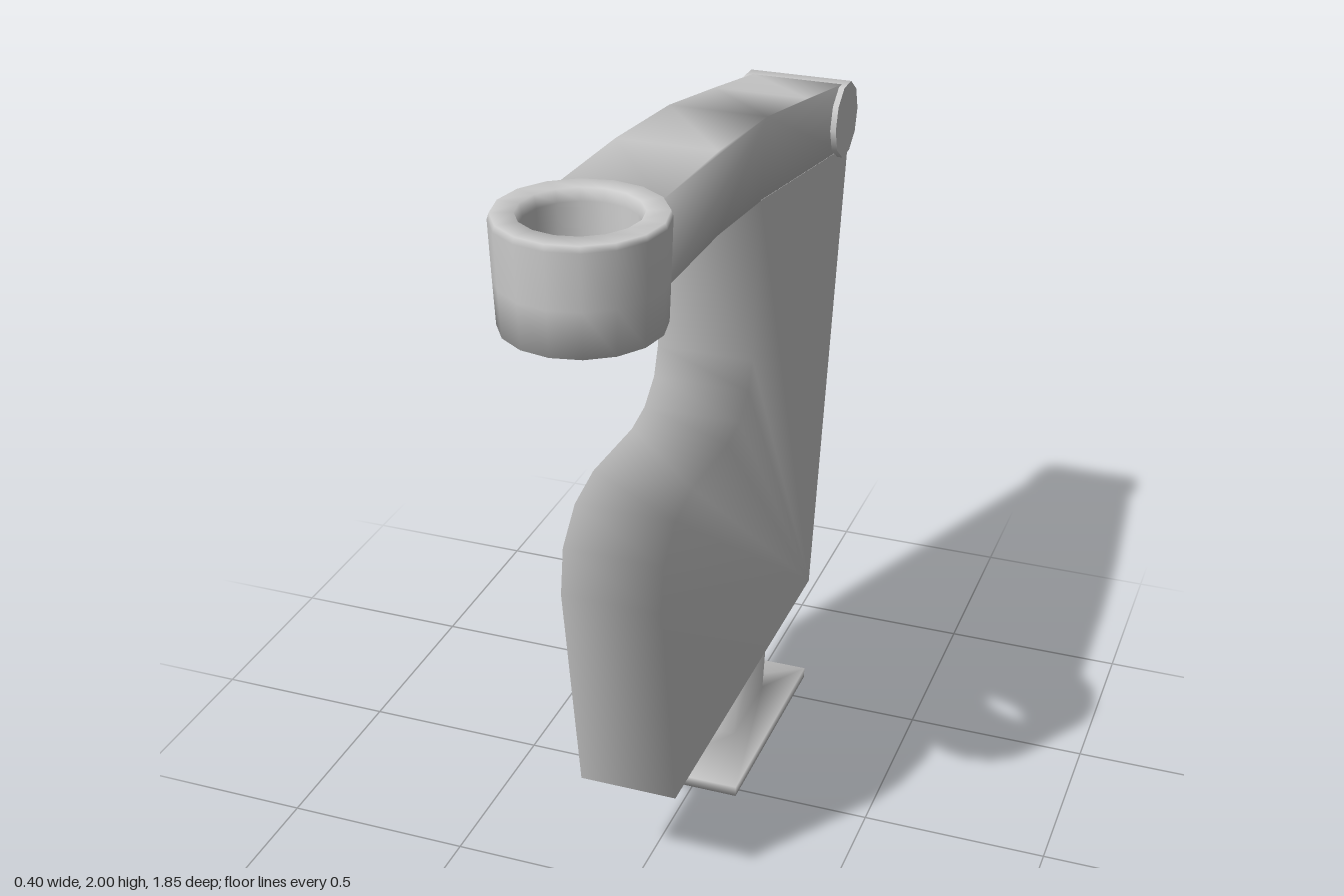
import * as THREE from 'three';
import { mergeVertices, mergeGeometries } from 'three/addons/utils/BufferGeometryUtils.js';

const material = new THREE.MeshStandardMaterial({ color: 0xcccccc });

function addPart(group, name, geometry) {
  const mesh = new THREE.Mesh(geometry, material);
  mesh.name = name;
  group.add(mesh);
  return mesh;
}

// Shares corners so that neighbouring faces shade smoothly.
function smooth(positions) {
  let g = new THREE.BufferGeometry();
  g.setAttribute('position', new THREE.Float32BufferAttribute(positions, 3));
  g = mergeVertices(g, 1e-4);
  g.computeVertexNormals();
  return g;
}

// Prism from a [z, y] outline (counter-clockwise), widened along x.
// Side faces fan out from the first point; edges in flatEdges stay sharp.
function prism(outline, half, flatEdges) {
  const n = outline.length;
  const soft = [];
  const parts = [];
  const at = (i, x) => [x, outline[i % n][1], outline[i % n][0]];
  for (let i = 1; i < n - 1; i++) {
    soft.push(...at(0, -half), ...at(i, -half), ...at(i + 1, -half));
    soft.push(...at(0, half), ...at(i + 1, half), ...at(i, half));
  }
  for (let i = 0; i < n; i++) {
    const a = at(i, half), b = at(i + 1, half), c = at(i + 1, -half), d = at(i, -half);
    const quad = [...a, ...b, ...c, ...a, ...c, ...d];
    if (flatEdges.includes(i)) parts.push(smooth(quad));
    else soft.push(...quad);
  }
  parts.push(smooth(soft));
  return mergeGeometries(parts);
}

export function createModel() {
  const model = new THREE.Group();
  model.name = 'model';

  // Slab body with a rounded front shoulder and a tall rear column
  addPart(model, 'body', prism([
    [-0.63, 0.33], [0.51, 0.33], [0.6, 0.94], [0.58, 1.06], [0.5, 1.14], [0.38, 1.17],
    [0.12, 1.16], [0.03, 1.18], [-0.04, 1.235], [-0.07, 1.31], [-0.12, 1.73], [-0.89, 1.61],
  ], 0.13, [0, 10, 11]));

  // Curved arm running forward from the hinge to the cup
  addPart(model, 'arm', prism([
    [-0.16, 1.935], [-0.5, 1.872], [-0.82, 1.81], [-0.82, 1.62], [-0.34, 1.69],
    [-0.12, 1.728], [0.2, 1.76], [0.585, 1.768], [0.575, 1.985], [0.2, 1.97],
  ], 0.129, [2, 7]));

  // Ten-sided hinge pin across the back
  const hinge = new THREE.CylinderGeometry(0.105, 0.105, 0.29, 10);
  hinge.rotateZ(Math.PI / 2);
  addPart(model, 'hinge', hinge).position.set(0, 1.711, -0.82);

  // Open ring cup at the end of the arm
  const cupProfile = [
    [0.13, 1.74], [0.19, 1.738], [0.195, 1.85], [0.2, 1.985], [0.195, 2],
    [0.142, 2], [0.135, 1.97], [0.13, 1.74],
  ].map(([r, y]) => new THREE.Vector2(r, y));
  addPart(model, 'cup', new THREE.LatheGeometry(cupProfile, 16)).position.z = 0.723;

  // Foot: plate, bevel and leaning neck, as four rectangular levels
  const levels = [
    { y: 0, half: 0.13, front: 0.03, back: -0.61 },
    { y: 0.03, half: 0.13, front: 0.03, back: -0.61 },
    { y: 0.07, half: 0.06, front: -0.16, back: -0.415 },
    { y: 0.34, half: 0.06, front: -0.21, back: -0.465 },
  ];
  const box = new THREE.BoxGeometry(1, 1, 1, 1, 3, 1).toNonIndexed();
  const p = box.attributes.position;
  for (let i = 0; i < p.count; i++) {
    const level = levels[Math.round((p.getY(i) + 0.5) * 3)];
    p.setXYZ(i, Math.sign(p.getX(i)) * level.half, level.y, p.getZ(i) > 0 ? level.front : level.back);
  }
  addPart(model, 'foot', smooth(Array.from(p.array)));

  return model;
}
